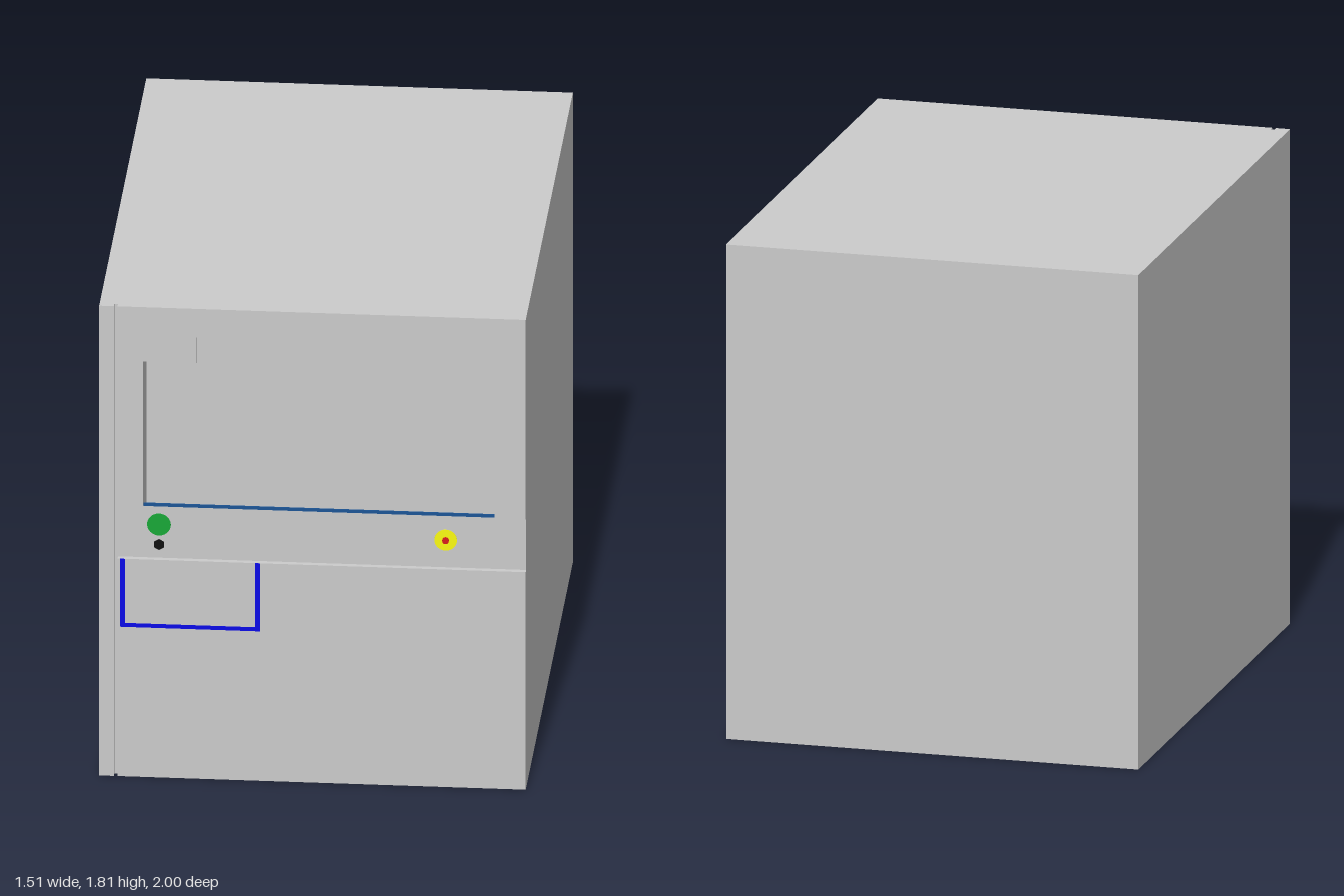
import * as THREE from 'three';

const W = 0.755, H = 1.81, FRONT = 1, BACK = 0.98, DEPTH = 0.02;

function material(color) {
  return new THREE.MeshStandardMaterial({ color, side: THREE.DoubleSide, flatShading: true });
}

const grey = material(0xcccccc);
const blue = material(0x0a0ae6);

function polygon(points) {
  return new THREE.Shape(points.map(([x, y]) => new THREE.Vector2(x, y)));
}

export function createModel() {
  const model = new THREE.Group();

  function add(name, geometry, mat, x = 0, y = 0, z = 0) {
    const mesh = new THREE.Mesh(geometry, mat);
    mesh.name = name;
    mesh.position.set(x, y, z);
    model.add(mesh);
    return mesh;
  }

  // Box given by its x and y limits, back plane and depth
  function slab(name, x0, x1, y0, y1, z, depth, mat = grey) {
    add(name, new THREE.BoxGeometry(x1 - x0, y1 - y0, depth), mat, (x0 + x1) / 2, (y0 + y1) / 2, z + depth / 2);
  }

  // Hollow cabinet, open at the front
  const cabinet = new THREE.BoxGeometry(2 * W, H, 1 + BACK);
  const sides = Array.from(cabinet.index.array).filter((_, i) => i < 24 || i >= 30);
  cabinet.setIndex(sides);
  cabinet.clearGroups();
  add('cabinet', cabinet, grey, 0, H / 2, (BACK - 1) / 2);

  // Stepped window outline
  const windowTop = [[-0.6, 1.04], [-0.6, 1.6], [-0.41, 1.6], [-0.41, 1.7], [0.645, 1.7]];

  // Recessed plate behind the groove and the control band
  const plate = polygon([[-W, 0], [W, 0], [W, H], [-W, H]]);
  plate.holes.push(new THREE.Path([...windowTop, [0.645, 1.04]].map(([x, y]) => new THREE.Vector2(x, y))));
  add('controlBand', new THREE.ShapeGeometry(plate), grey, 0, 0, BACK);

  // Raised front panels: window surround, pillar, lower door and edge strip
  const surround = polygon([[-0.69, 1.04], ...windowTop, [0.645, H], [-0.69, H]]);
  add('windowSurround', new THREE.ExtrudeGeometry(surround, { depth: DEPTH, bevelEnabled: false }), grey, 0, 0, BACK);
  slab('rightPillar', 0.645, W, 1.04, H, BACK, DEPTH);
  slab('lowerPanel', -0.69, W, 0, 0.838, BACK, DEPTH);
  slab('edgeStrip', -W, -0.703, 0, H, BACK, DEPTH);

  // Blue sill under the window
  slab('windowSill', -0.6, 0.645, 1.037, 1.049, BACK, 0.004, material(0x1c5596));

  // Blue U-shaped outline on the lower panel
  slab('outlineLeft', -0.681, -0.664, 0.576, 0.838, FRONT, 0.001, blue);
  slab('outlineRight', -0.203, -0.186, 0.576, 0.838, FRONT, 0.001, blue);
  slab('outlineBottom', -0.664, -0.203, 0.576, 0.591, FRONT, 0.001, blue);

  // Round controls on the band
  function button(name, x, y, radius, height, sides, color) {
    const geometry = new THREE.CylinderGeometry(radius, radius, height, sides).rotateX(Math.PI / 2);
    add(name, geometry, material(color), x, y, BACK + height / 2);
  }
  button('greenButton', -0.545, 0.966, 0.042, 0.002, 32, 0x19a838);
  button('blackKnob', -0.545, 0.889, 0.021, 0.002, 6, 0x111111);
  button('yellowButton', 0.47, 0.943, 0.04, 0.002, 32, 0xfafa12);
  button('redPin', 0.47, 0.943, 0.012, 0.01, 12, 0xd81c1c);

  return model;
}
